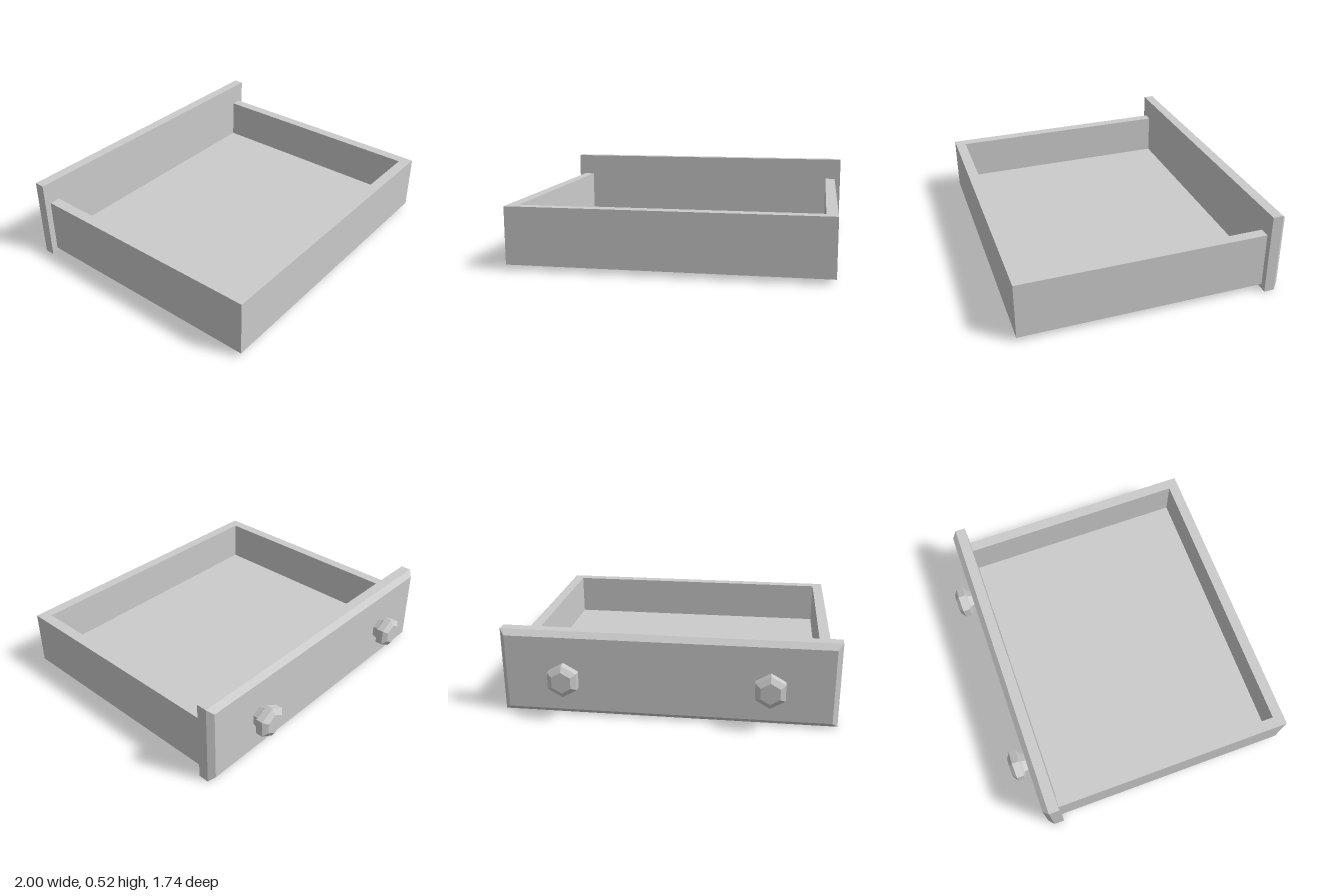
import * as THREE from 'three';

const material = new THREE.MeshStandardMaterial({ color: 0xcccccc, flatShading: true });

function part(name, geometry, x = 0, y = 0, z = 0) {
  const mesh = new THREE.Mesh(geometry, material);
  mesh.name = name;
  mesh.position.set(x, y, z);
  return mesh;
}

// Slab whose -z face is chamfered on all four edges; its +z face lies at z = 0
function chamferedPanel(width, height, depth, chamfer) {
  const geometry = new THREE.BoxGeometry(width, height, depth, 1, 1, 2);
  geometry.translate(0, 0, -depth / 2);
  const p = geometry.attributes.position;
  for (let i = 0; i < p.count; i++) {
    const z = p.getZ(i);
    if (z < -depth * 0.9) {
      p.setX(i, p.getX(i) - Math.sign(p.getX(i)) * chamfer);
      p.setY(i, p.getY(i) - Math.sign(p.getY(i)) * chamfer);
    } else if (z < -depth * 0.1) {
      p.setZ(i, chamfer - depth);
    }
  }
  geometry.computeVertexNormals();
  return geometry;
}

export function createModel() {
  const group = new THREE.Group();
  group.name = 'drawer';

  const bottom = 0.03, rim = 0.38, floorTop = 0.115;
  const outerX = 0.96, innerX = 0.893, outerZ = 0.87, innerZ = 0.803, panelZ = -0.66;

  // Side and end walls: one U-shaped plan, extruded upwards
  const plan = new THREE.Shape([
    [-outerX, panelZ], [-innerX, panelZ], [-innerX, innerZ], [innerX, innerZ],
    [innerX, panelZ], [outerX, panelZ], [outerX, outerZ], [-outerX, outerZ],
  ].map(([x, z]) => new THREE.Vector2(x, -z)));
  const walls = new THREE.ExtrudeGeometry(plan, { depth: rim - bottom, bevelEnabled: false });
  walls.rotateX(-Math.PI / 2);
  group.add(part('walls', walls, 0, bottom, 0));

  // Thick floor between the walls
  const floor = new THREE.BoxGeometry(innerX * 2, floorTop - bottom, innerZ - panelZ);
  group.add(part('floor', floor, 0, (floorTop + bottom) / 2, (innerZ + panelZ) / 2));

  // Face panel
  group.add(part('facePanel', chamferedPanel(2, 0.522, 0.097, 0.032), 0, 0.261, panelZ));

  // Six-sided knobs: radius and distance from the panel
  const profile = [[0.06, 0], [0.072, 0.035], [0.1, 0.05], [0.1, 0.094], [0.065, 0.117], [0, 0.117]];
  const knob = new THREE.LatheGeometry(profile.map(([r, d]) => new THREE.Vector2(r, d)), 6);
  knob.rotateX(-Math.PI / 2);
  for (const side of [-1, 1]) {
    group.add(part(side > 0 ? 'leftKnob' : 'rightKnob', knob, side * 0.603, 0.255, -0.756));
  }

  return group;
}
